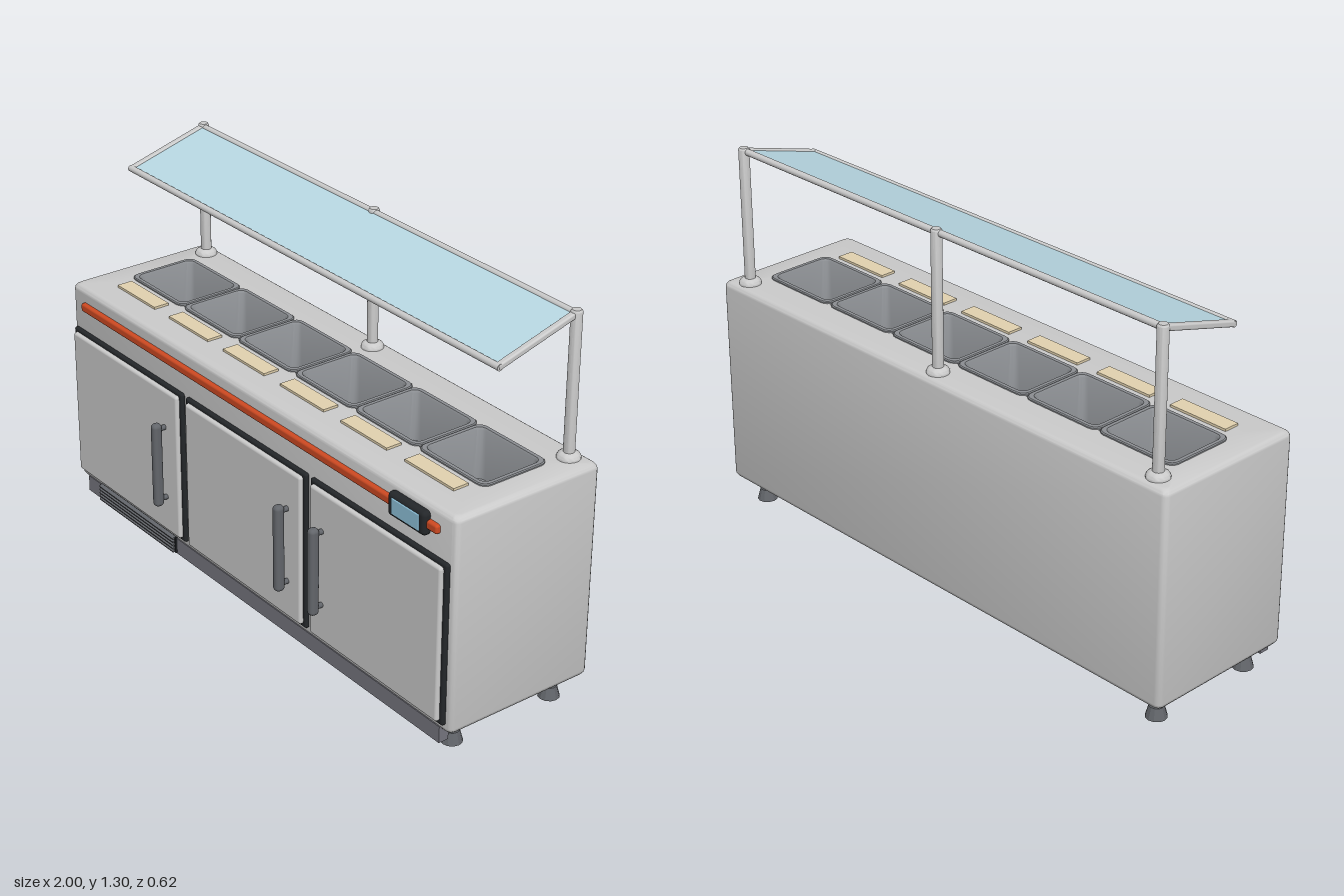
import * as THREE from 'three';
import { toCreasedNormals } from 'three/addons/utils/BufferGeometryUtils.js';
import { RoundedBoxGeometry } from 'three/addons/geometries/RoundedBoxGeometry.js';

const mat = (color, extra = {}) => new THREE.MeshStandardMaterial({ color, ...extra });
const steel = mat(0xcccccc);
const panSteel = mat(0x8c8f93, { side: THREE.DoubleSide });
const darkSteel = mat(0x63666b);
const plinthGrey = mat(0x777780);
const black = mat(0x24272a);
const orange = mat(0xcf4a22);
const glassBlue = mat(0xb9d9e4);
const screenBlue = mat(0x8fc3dc);
const cream = mat(0xe3d3b0);

function add(parent, name, geometry, material, x = 0, y = 0, z = 0) {
  const mesh = new THREE.Mesh(geometry, material);
  mesh.name = name;
  mesh.position.set(x, y, z);
  parent.add(mesh);
  return mesh;
}

const box = (w, h, d) => new THREE.BoxGeometry(w, h, d);
const rbox = (w, h, d, r) => new RoundedBoxGeometry(w, h, d, 3, r);
const cyl = (rTop, rBottom, h, n = 20) => new THREE.CylinderGeometry(rTop, rBottom, h, n);

// Skins rounded-rectangle rings [halfWidth, halfDepth, cornerRadius, y, centreZ]
function loft(rings) {
  const steps = 4, n = 4 * (steps + 1), pos = [], index = [];
  for (const [hw, hd, r, y, cz = 0] of rings) {
    for (let c = 0; c < 4; c++) {
      const sx = c === 0 || c === 3 ? 1 : -1, sz = c < 2 ? 1 : -1;
      for (let k = 0; k <= steps; k++) {
        const a = (c + k / steps) * Math.PI / 2;
        pos.push(sx * (hw - r) + r * Math.cos(a), y, cz + sz * (hd - r) + r * Math.sin(a));
      }
    }
  }
  for (let i = 0; i < rings.length - 1; i++) {
    for (let j = 0; j < n; j++) {
      const a = i * n + j, b = i * n + (j + 1) % n;
      index.push(a, a + n, b, b, a + n, b + n);
    }
  }
  const g = new THREE.BufferGeometry();
  g.setAttribute('position', new THREE.Float32BufferAttribute(pos, 3));
  g.setIndex(index);
  return toCreasedNormals(g, 0.6);
}

export function createModel() {
  const model = new THREE.Group();
  model.name = 'refrigeratedPrepCounter';

  // Cabinet: rounded shell with a sunken well for the pans
  const cz = -0.037, y0 = 0.087, y1 = 0.825, R = 0.02;
  const shell = [[0, 0, 0, y0, cz]];
  const arc = [0, 1, 2, 3, 4].map(k => k * Math.PI / 8);
  const ring = (inset, y) => [1 - inset, 0.274 - inset, R, y, cz];
  for (const a of arc) shell.push(ring(R * (1 - Math.sin(a)), y0 + R * (1 - Math.cos(a))));
  for (const a of arc) shell.push(ring(R * (1 - Math.cos(a)), y1 - R * (1 - Math.sin(a))));
  const well = y => [0.895, 0.112, 0.02, y, -0.064];
  shell.push(well(y1), well(0.6), [0, 0, 0, 0.6, -0.064]);
  add(model, 'cabinet', loft(shell), steel);

  // Food pans with a label strip in front of each
  const panGeometry = loft([
    [0.151, 0.126, 0.03, 0.823], [0.151, 0.126, 0.03, 0.829], [0.148, 0.123, 0.028, 0.832],
    [0.136, 0.111, 0.025, 0.832], [0.132, 0.107, 0.025, 0.826],
    [0.112, 0.088, 0.03, 0.675], [0.1, 0.076, 0.025, 0.662], [0, 0, 0, 0.662],
  ]);
  for (let i = 0; i < 6; i++) {
    const x = (i - 2.5) * 0.304;
    add(model, 'foodPan', panGeometry, panSteel, x, 0, -0.064);
    add(model, 'labelStrip', box(0.22, 0.012, 0.056), cream, x, 0.827, 0.112);
  }

  // Doors with dark gasket and bar handle
  const doors = [[-0.662, -0.425], [-0.002, 0.24], [0.658, 0.415]];
  for (const [x, handleX] of doors) {
    const door = new THREE.Group();
    door.name = 'door';
    model.add(door);
    add(door, 'doorGasket', rbox(0.64, 0.552, 0.024, 0.008), black, x, 0.393, 0.238);
    add(door, 'doorPanel', rbox(0.614, 0.528, 0.024, 0.01), steel, x, 0.393, 0.251);
    const bar = rbox(0.032, 0.306, 0.034, 0.014);
    add(door, 'handleBar', bar, darkSteel, handleX, 0.392, 0.296);
    for (const y of [0.262, 0.522]) {
      add(door, 'handleMount', cyl(0.009, 0.009, 0.04, 12), darkSteel, handleX, y, 0.273)
        .rotation.x = Math.PI / 2;
    }
  }

  // Accent strip and control display
  add(model, 'accentStrip', rbox(1.86, 0.03, 0.03, 0.008), orange, 0, 0.761, 0.237);
  add(model, 'displayFrame', rbox(0.17, 0.08, 0.034, 0.015), black, 0.803, 0.761, 0.245);
  add(model, 'displayScreen', rbox(0.125, 0.054, 0.008, 0.003), screenBlue, 0.803, 0.761, 0.261);

  // Plinth and ventilation grille
  add(model, 'plinth', box(1.905, 0.058, 0.036), plinthGrey, 0, 0.069, 0.22);
  add(model, 'grilleBack', box(0.46, 0.058, 0.008), black, -0.64, 0.073, 0.24);
  for (let i = 0; i < 5; i++) {
    add(model, 'grilleSlat', box(0.45, 0.006, 0.014), darkSteel, -0.64, 0.05 + i * 0.0125, 0.245)
      .rotation.x = 0.35;
  }

  // Feet
  for (const x of [-0.92, 0.92]) {
    for (const z of [0.16, -0.23]) {
      add(model, 'foot', toCreasedNormals(cyl(0.024, 0.035, 0.04, 12), 0.3), darkSteel, x, 0.02, z);
    }
  }

  // Posts with turned base flanges
  const postProfile = [[0, 0.823], [0.037, 0.823], [0.037, 0.832], [0.033, 0.839], [0.025, 0.844],
    [0.018, 0.846], [0.018, 1.298], [0.014, 1.304], [0, 1.304]]
    .map(([r, y]) => new THREE.Vector2(r, y));
  const postGeometry = toCreasedNormals(new THREE.LatheGeometry(postProfile, 24), 0.6);
  for (const x of [-0.92, 0, 0.92]) add(model, 'post', postGeometry, steel, x, 0, -0.258);

  // Sloping glass guard in a thin frame
  const guard = new THREE.Group();
  guard.name = 'glassGuard';
  guard.position.set(0, 1.25, -0.111);
  guard.rotation.x = 0.275;
  model.add(guard);
  add(guard, 'glassPane', box(1.83, 0.01, 0.3), glassBlue);
  for (const s of [-1, 1]) {
    add(guard, 'sideRail', rbox(0.022, 0.02, 0.31, 0.006), steel, s * 0.919, 0, 0);
    add(guard, 'crossRail', cyl(0.011, 0.011, 1.856, 14), steel, 0, 0, s * 0.15)
      .rotation.z = Math.PI / 2;
  }

  return model;
}
